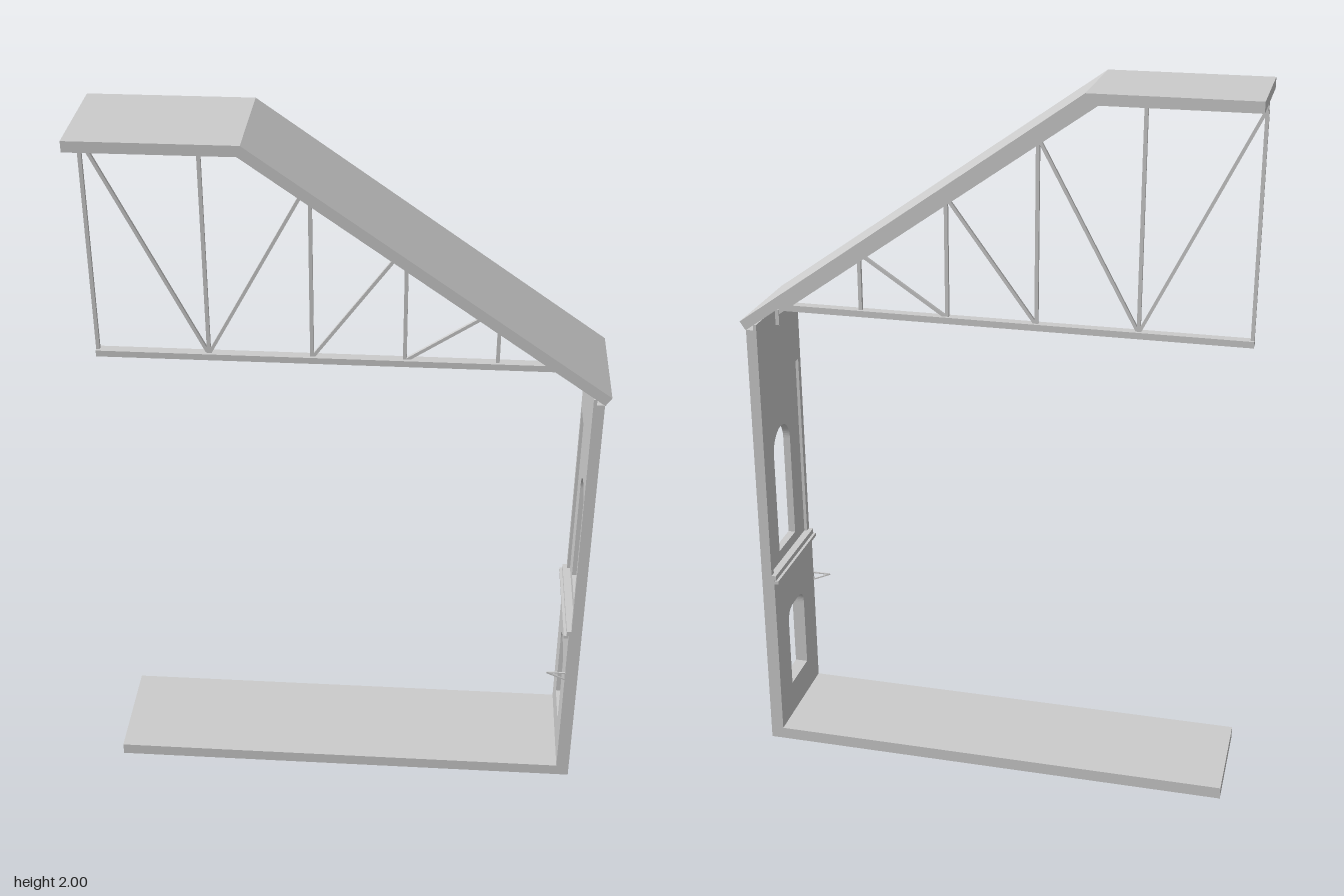
import * as THREE from 'three';

const HALF = 0.161; // half depth of the building slice

export function createModel() {
  const model = new THREE.Group();
  const mat = new THREE.MeshStandardMaterial({ color: 0xcccccc, flatShading: true });

  const add = (name, geo) => {
    const mesh = new THREE.Mesh(geo, mat);
    mesh.name = name;
    model.add(mesh);
    return mesh;
  };
  // Box from its minimum and maximum corners
  const box = (name, x0, x1, y0, y1, z0, z1) =>
    add(name, new THREE.BoxGeometry(x1 - x0, y1 - y0, z1 - z0)
      .translate((x0 + x1) / 2, (y0 + y1) / 2, (z0 + z1) / 2));
  // Side profile in x, y drawn out along z
  const profile = (name, pts, depth) => {
    const shape = new THREE.Shape(pts.map(([x, y]) => new THREE.Vector2(x, y)));
    const geo = new THREE.ExtrudeGeometry(shape, { depth, bevelEnabled: false });
    return add(name, geo.translate(0, 0, -depth / 2));
  };
  // Square bar between two points of the x, y plane
  const bar = (name, [x0, y0], [x1, y1], size, z = 0) => {
    const geo = new THREE.BoxGeometry(Math.hypot(x1 - x0, y1 - y0), size, size);
    geo.rotateZ(Math.atan2(y1 - y0, x1 - x0));
    return add(name, geo.translate((x0 + x1) / 2, (y0 + y1) / 2, z));
  };
  // Wall panel with one window opening, from x0 to x1
  const wall = (name, x0, x1, y0, y1, half, opening) => {
    const shape = new THREE.Shape();
    shape.moveTo(-half, y0).lineTo(half, y0).lineTo(half, y1).lineTo(-half, y1).closePath();
    shape.holes.push(opening);
    const geo = new THREE.ExtrudeGeometry(shape, { depth: x1 - x0, bevelEnabled: false, curveSegments: 14 });
    return add(name, geo.rotateY(Math.PI / 2).translate(x0, 0, 0));
  };

  box('floorSlab', -0.69, 0.673, 0, 0.035, -HALF, HALF);

  // Lower wall: window with a flattened arch
  const w = 0.066;
  const lowWindow = new THREE.Path();
  lowWindow.moveTo(-w, 0.137).lineTo(-w, 0.345);
  lowWindow.quadraticCurveTo(-w, 0.39, -0.022, 0.392);
  lowWindow.lineTo(0.022, 0.392);
  lowWindow.quadraticCurveTo(w, 0.39, w, 0.345);
  lowWindow.lineTo(w, 0.137).closePath();
  wall('lowerWall', 0.636, 0.673, 0.035, 0.555, HALF, lowWindow);

  // Upper wall: round-headed window in a shallow recess
  const highWindow = new THREE.Path();
  highWindow.moveTo(-w, 0.588).lineTo(-w, 0.898);
  highWindow.absarc(0, 0.898, w, Math.PI, 0, true);
  highWindow.lineTo(w, 0.588).closePath();
  wall('upperWall', 0.652, 0.673, 0.555, 1.312, HALF, highWindow);
  box('upperWallBand', 0.643, 0.652, 1.12, 1.328, -HALF, HALF);
  for (const s of [-1, 1]) {
    const z = [s * HALF, s * (HALF - 0.018)].sort((a, b) => a - b);
    box('pilaster', 0.643, 0.652, 0.555, 1.12, z[0], z[1]);
  }

  // Roof slabs and the top chord following them
  profile('flatRoof', [[-0.692, 1.971], [-0.264, 1.971], [-0.255, 2], [-0.692, 2]], HALF * 2);
  profile('slopingRoof', [[-0.264, 1.971], [0.674, 1.311], [0.69, 1.335], [-0.255, 2]], HALF * 2);
  profile('topChord', [[-0.69, 1.947], [-0.272, 1.947], [0.64, 1.306], [0.64, 1.334],
    [-0.264, 1.971], [-0.69, 1.971]], 0.028);

  // Truss: bottom chord, posts and diagonals
  box('bottomChord', -0.692, 0.643, 1.322, 1.34, -0.014, 0.014);
  const nodes = [[-0.687, 1.95], [-0.384, 1.95], [-0.104, 1.848], [0.146, 1.676], [0.395, 1.502]];
  for (const [x, y] of nodes) bar('trussPost', [x, 1.335], [x, y], 0.01);
  bar('trussDiagonal', nodes[0], [nodes[1][0], 1.335], 0.009);
  for (let i = 1; i < 4; i++) bar('trussDiagonal', [nodes[i][0], 1.335], nodes[i + 1], 0.009);
  box('trussBearing', 0.632, 0.645, 1.28, 1.325, -0.018, 0.018);

  // Rail along the inner ledge
  box('ledgeRail', 0.622, 0.634, 0.531, 0.541, -HALF - 0.003, HALF);
  box('ledgeLip', 0.63, 0.645, 0.541, 0.556, -HALF, HALF);

  // Small triangular bracket on the front edge
  const corners = [[0.582, 0.402], [0.637, 0.402], [0.637, 0.378]];
  corners.forEach((p, i) => bar('wallBracket', p, corners[(i + 1) % 3], 0.004, HALF));

  return model;
}
